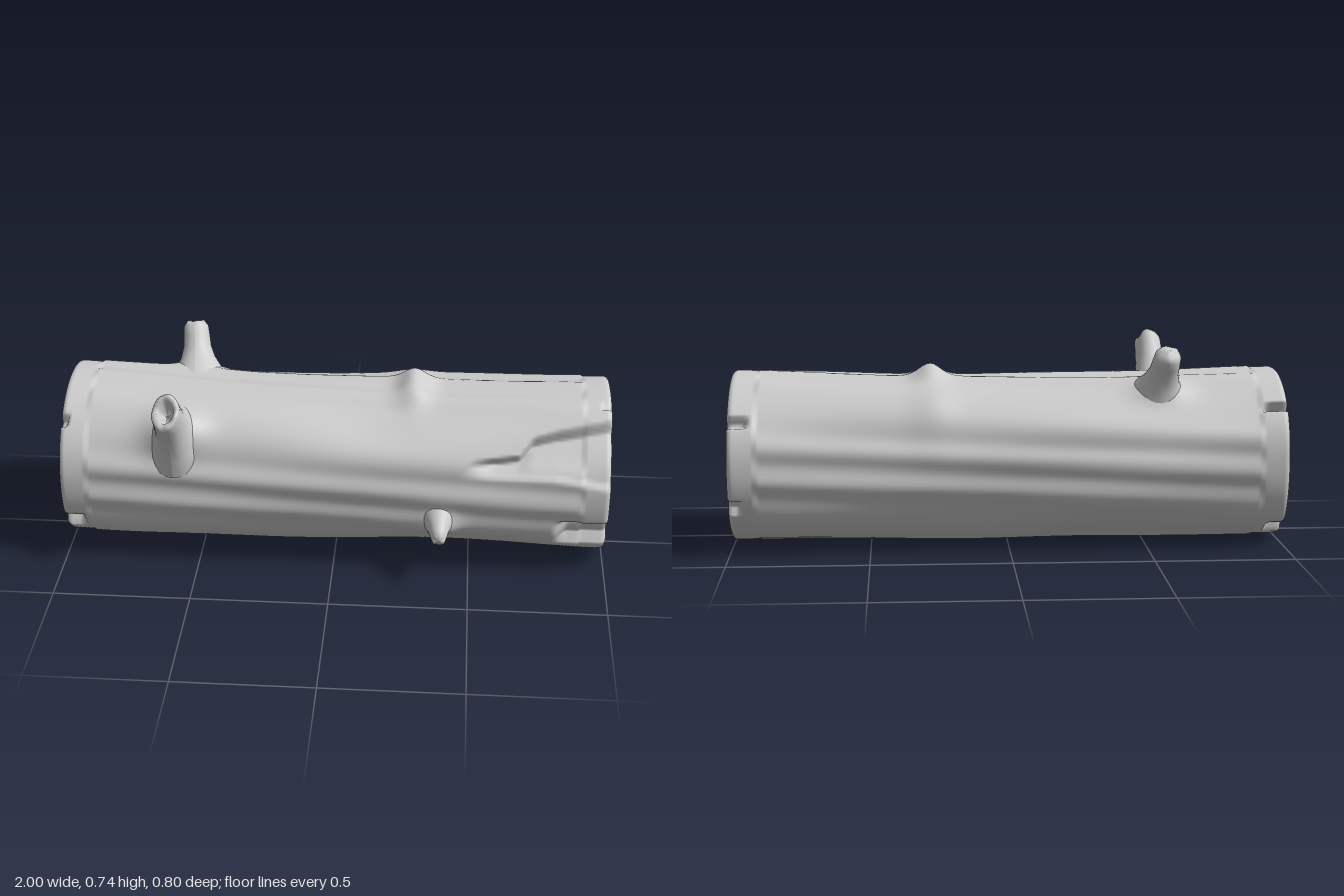
import * as THREE from 'three';

const CY = 0.31, CZ = -0.06;
const smooth = (lo, hi, v) => THREE.MathUtils.smoothstep(v, lo, hi);
const angleGap = (a, b) => Math.atan2(Math.sin(a - b), Math.cos(a - b));
const bump = (d, w) => Math.exp(-(d * d) / (w * w));

// piecewise linear curve through [x, y] points
function curve(points, x) {
  for (let i = 1; i < points.length; i++) {
    const [x0, y0] = points[i - 1], [x1, y1] = points[i];
    if (x <= x1) return y0 + (y1 - y0) * Math.max(0, (x - x0) / (x1 - x0));
  }
  return points[points.length - 1][1];
}

// edges of the strip of torn bark
const TEAR_TOP = [[0.46, 0.42], [0.5, 0.455], [0.67, 0.475], [0.715, 0.53], [0.8, 0.55], [1, 0.58]];
const TEAR_LOW = [[0.46, 0.405], [0.8, 0.405], [1, 0.375]];

// chips in the ends: [end, angle, half width, length, depth]
const CHIPS = [
  [1, -0.44, 0.2, 0.2, 0.045], [1, 2.6, 0.06, 0.08, 0.03], [1, 3.55, 0.09, 0.05, 0.025],
  [1, 1.25, 0.05, 0.04, 0.012], [-1, -0.53, 0.12, 0.08, 0.045], [-1, 2.45, 0.05, 0.1, 0.04],
  [-1, 4.05, 0.13, 0.07, 0.045], [-1, 0.8, 0.07, 0.03, 0.03], [-1, -1.05, 0.08, 0.04, 0.02],
];

// swellings round the branches and knots: [x, angle, x width, angle width, height]
const SWELLS = [
  [-0.58, 0.72, 0.1, 0.26, 0.055], [-0.55, 2.13, 0.09, 0.2, 0.035],
  [0.39, -0.32, 0.06, 0.15, 0.03], [0.28, 1.57, 0.055, 0.3, 0.048],
  [0.27, 2.3, 0.08, 0.5, 0.012], [0.15, 0.85, 0.2, 0.25, -0.012],
];

// point on the bark at length x and angle a (0 faces +z, rising towards +y)
function barkPoint(x, a) {
  const c = Math.cos(a), s = Math.sin(a), end = 1 - Math.abs(x);
  const round = v => Math.sign(v) * Math.abs(v) ** 0.92;
  const ry = s > 0 ? 0.293 + 0.02 * x * x : 0.303;
  const rz = c < 0 ? 0.317 + 0.014 * x * x + 0.008 * x : 0.33;
  const y = CY + ry * round(s), z = CZ + rz * round(c);
  let d = 0.003 * Math.sin(3 * a + 4 * x) + 0.002 * Math.sin(5 * a - 7 * x);
  // ragged, rounded rim
  d += 0.006 * smooth(0.1, 0, end) * Math.sin(11 * a + 2 * Math.sin(4 * a) + 3 * x);
  if (end < 0.02) d -= 0.018 * (1 - Math.sqrt(Math.max(0, 1 - (1 - end / 0.02) ** 2)));
  for (const [sx, sa, wx, wa, h] of SWELLS) d += h * bump(x - sx, wx) * bump(angleGap(a, sa), wa);
  for (const [side, ca, w, len, depth] of CHIPS) {
    const across = smoothDown(w, Math.abs(angleGap(a, ca)));
    d -= depth * across * smoothDown(len, 1 - side * x);
  }
  if (c > 0 && x > 0.46) {
    const top = curve(TEAR_TOP, x), low = curve(TEAR_LOW, x);
    const t = THREE.MathUtils.clamp((y - low) / (top - low), 0, 1);
    const mask = (y > low - 0.006 ? smooth(low - 0.006, low + 0.012, y) : 0) * (1 - smooth(top - 0.014, top + 0.004, y));
    d -= mask * (0.014 + 0.034 * t) * smooth(0.45, 0.6, x);
  }
  return [x, y + d * s, z + d * c];
}
function smoothDown(limit, v) { return 1 - THREE.MathUtils.smoothstep(v, limit * 0.7, limit); }

function barkGeometry() {
  const rim = [0, 0.001, 0.004, 0.009, 0.015], xs = [], N = 160, LONG = 190;
  rim.forEach(e => xs.push(-1 + e));
  for (let i = 0; i <= LONG; i++) xs.push(-0.98 + (1.96 * i) / LONG);
  rim.reverse().forEach(e => xs.push(1 - e));
  const pos = [], index = [];
  xs.forEach(x => { for (let j = 0; j < N; j++) pos.push(...barkPoint(x, (j / N) * Math.PI * 2)); });
  for (let i = 0; i < xs.length - 1; i++) for (let j = 0; j < N; j++) {
    const k = (j + 1) % N, p = i * N, q = p + N;
    index.push(p + j, q + j, q + k, p + j, q + k, p + k);
  }
  return finish(pos, index);
}

// flat sawn face closing one end
function endGeometry(side) {
  const N = 160, pos = [side, CY, CZ], index = [];
  for (let j = 0; j < N; j++) pos.push(...barkPoint(side, (j / N) * Math.PI * 2));
  for (let j = 0; j < N; j++) {
    const p = 1 + j, q = 1 + (j + 1) % N;
    index.push(0, side > 0 ? q : p, side > 0 ? p : q);
  }
  return finish(pos, index);
}

function finish(pos, index) {
  const g = new THREE.BufferGeometry();
  g.setAttribute('position', new THREE.Float32BufferAttribute(pos, 3));
  g.setIndex(index);
  g.computeVertexNormals();
  return g;
}

// broken branch: lathe profile along a direction, with a ragged tip
function stub(name, material, base, tip, profile, flatten, ragged) {
  const from = new THREE.Vector3(...base), dir = new THREE.Vector3(...tip).sub(from);
  const length = dir.length();
  const g = new THREE.LatheGeometry(profile.map(([r, h]) => new THREE.Vector2(r, h * length)), 28);
  const p = g.attributes.position;
  for (let i = 0; i < p.count; i++) {
    const a = Math.atan2(p.getZ(i), p.getX(i)), h = p.getY(i) / length;
    if (h > 0.8 && Math.hypot(p.getX(i), p.getZ(i)) > 0.01)
      p.setY(i, p.getY(i) + ragged * (Math.sin(3 * a) + 0.6 * Math.sin(5 * a + 1)));
    p.setX(i, p.getX(i) * flatten);
  }
  g.computeVertexNormals();
  const mesh = new THREE.Mesh(g, material);
  mesh.name = name;
  mesh.position.copy(from);
  mesh.quaternion.setFromUnitVectors(new THREE.Vector3(0, 1, 0), dir.normalize());
  return mesh;
}

export function createModel() {
  const wood = new THREE.MeshStandardMaterial({ color: 0xcccccc });
  wood.name = 'pale grey wood';
  const log = new THREE.Group();
  log.name = 'log';
  const add = (name, geometry) => {
    const mesh = new THREE.Mesh(geometry, wood);
    mesh.name = name;
    log.add(mesh);
  };
  add('bark', barkGeometry());
  add('leftEnd', endGeometry(1));
  add('rightEnd', endGeometry(-1));

  // hollow branch at the front, solid branch at the back, small thorn
  log.add(stub('frontBranch', wood, [-0.58, 0.47, 0.165], [-0.58, 0.685, 0.36],
    [[0.15, 0], [0.115, 0.2], [0.088, 0.4], [0.076, 0.6], [0.072, 0.8], [0.07, 0.95], [0.06, 1],
      [0.042, 0.98], [0.03, 0.85], [0, 0.78]], 0.72, 0.007));
  log.add(stub('backBranch', wood, [-0.54, 0.52, -0.185], [-0.565, 0.715, -0.32],
    [[0.13, 0], [0.095, 0.2], [0.066, 0.42], [0.053, 0.6], [0.05, 0.78], [0.047, 0.92], [0.034, 1], [0, 1.02]], 1, 0.003));
  log.add(stub('thorn', wood, [0.385, 0.225, 0.22], [0.39, 0.19, 0.355],
    [[0.08, 0], [0.062, 0.3], [0.042, 0.55], [0.031, 0.8], [0.024, 0.97], [0, 1]], 0.95, 0.003));
  return log;
}
